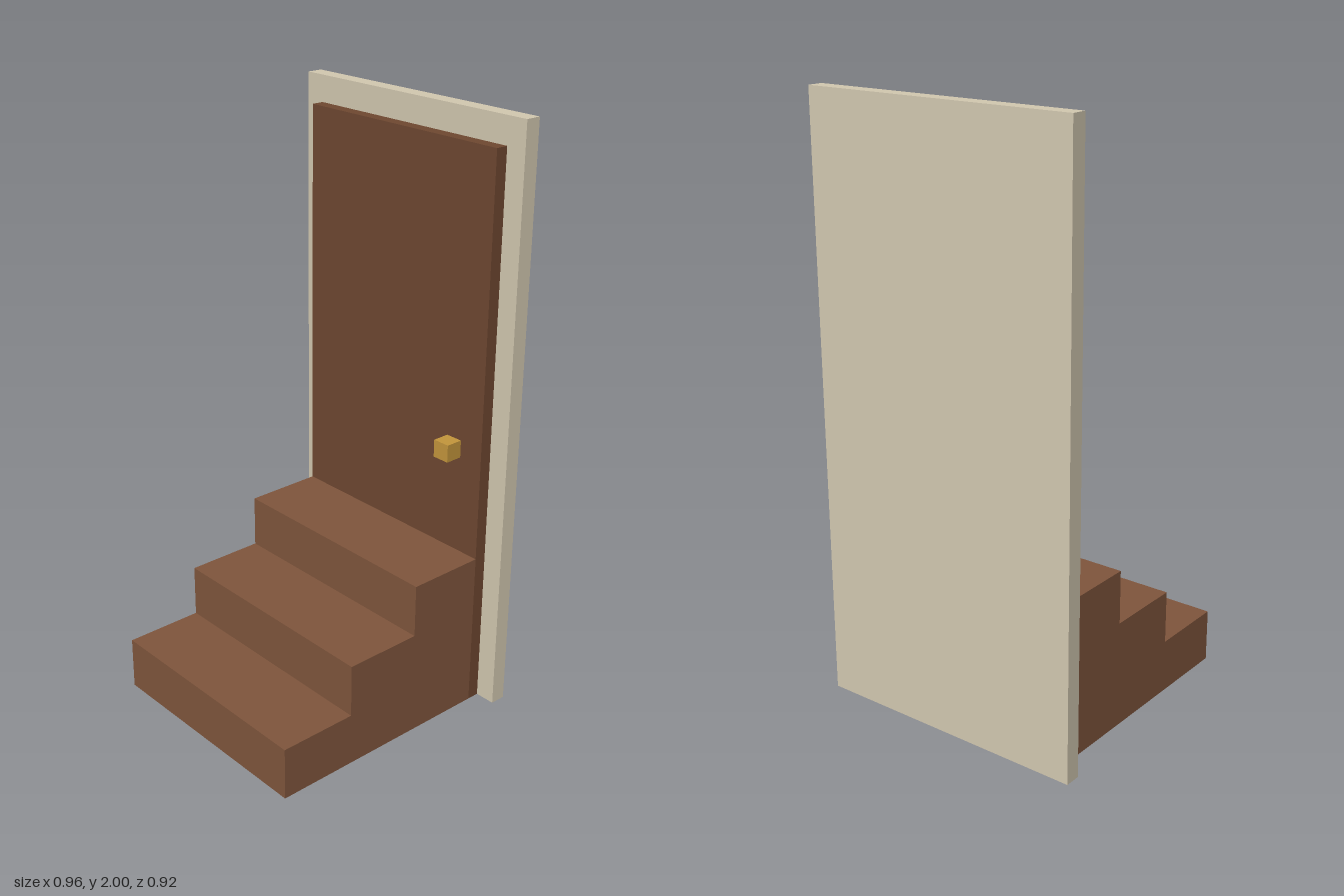
import * as THREE from 'three';

export function createModel() {
  const group = new THREE.Group();
  const material = (color) => new THREE.MeshStandardMaterial({ color, flatShading: true });

  // Box given by its width and its y and z ranges
  function slab(name, width, [y0, y1], [z0, z1], color, x = 0) {
    const mesh = new THREE.Mesh(new THREE.BoxGeometry(width, y1 - y0, z1 - z0), material(color));
    mesh.position.set(x, (y0 + y1) / 2, (z0 + z1) / 2);
    mesh.name = name;
    group.add(mesh);
  }

  const width = 0.818;
  const doorBack = -0.405, doorFront = -0.362;

  slab('doorFrame', 0.96, [0, 2], [-0.459, doorBack], 0xd3c9b1);
  slab('door', width, [0, 1.91], [doorBack, doorFront], 0x6f4831);
  slab('doorKnob', 0.061, [0.884, 0.944], [doorFront, -0.302], 0xc4963c, 0.289);

  // Staircase: one stepped side profile extruded across the width
  const steps = 3, rise = 0.182, run = 0.2735;
  const profile = new THREE.Shape();
  profile.moveTo(doorFront, 0);
  for (let i = 0; i < steps; i++) {
    const z = doorFront + run * (steps - i);
    profile.lineTo(z, rise * i);
    profile.lineTo(z, rise * (i + 1));
  }
  profile.lineTo(doorFront, rise * steps);
  profile.closePath();
  const stairGeometry = new THREE.ExtrudeGeometry(profile, { depth: width, bevelEnabled: false });
  stairGeometry.translate(0, 0, -width / 2);
  stairGeometry.rotateY(-Math.PI / 2); // profile x becomes z
  const stairs = new THREE.Mesh(stairGeometry, material(0x80563d));
  stairs.name = 'stairs';
  group.add(stairs);

  return group;
}
